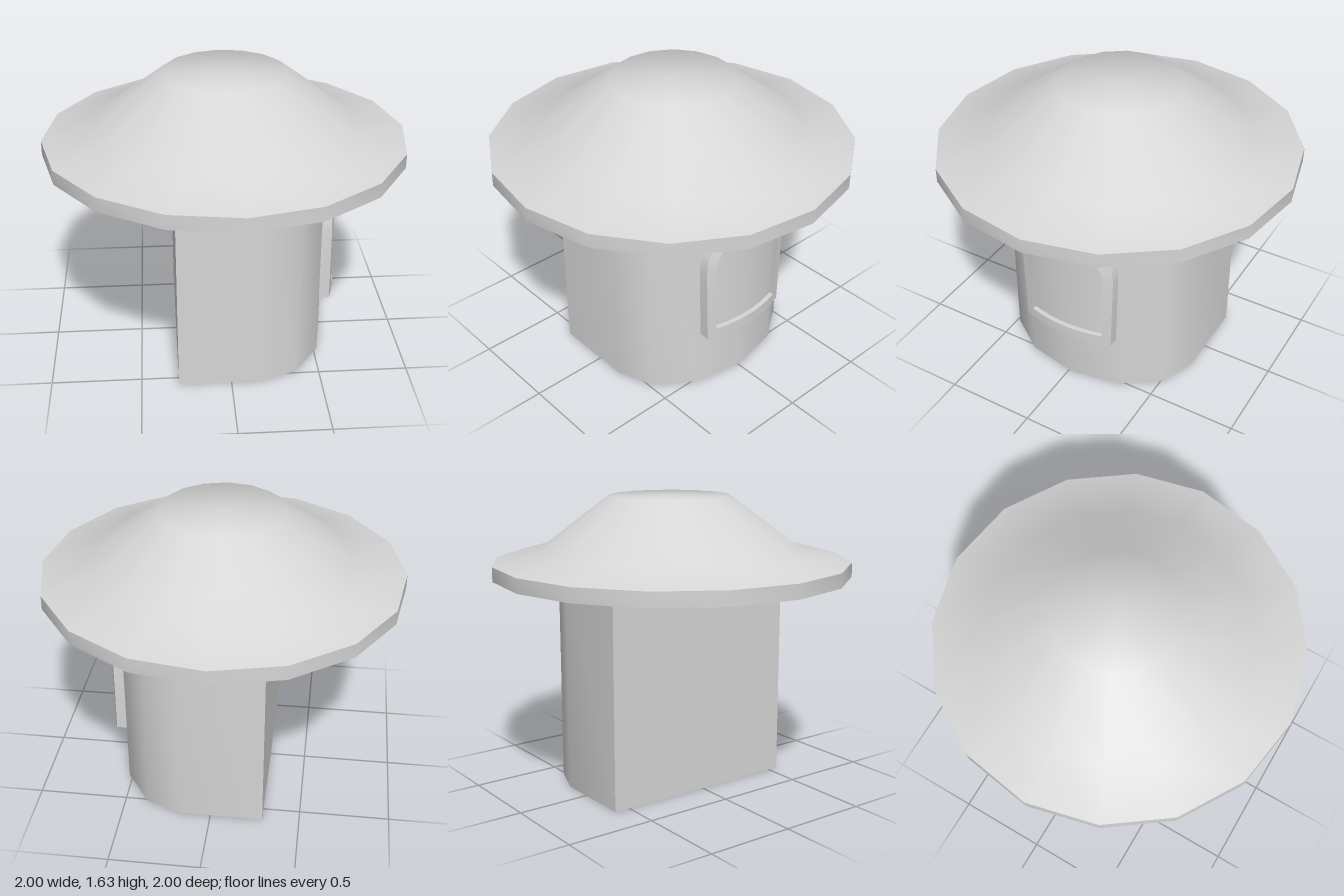
import * as THREE from 'three';
import { mergeVertices, toCreasedNormals } from 'three/addons/utils/BufferGeometryUtils.js';

const CZ = -0.015; // centre line of the tower in z

// Skin a grid of points (rows of columns) with quads
function skin(rows, crease) {
  const pos = [];
  for (let i = 0; i < rows.length - 1; i++) {
    for (let j = 0; j < rows[i].length - 1; j++) {
      const a = rows[i][j], b = rows[i + 1][j], c = rows[i + 1][j + 1], d = rows[i][j + 1];
      pos.push(...a, ...d, ...c, ...a, ...c, ...b);
    }
  }
  const g = new THREE.BufferGeometry();
  g.setAttribute('position', new THREE.Float32BufferAttribute(pos, 3));
  return toCreasedNormals(g, crease);
}

// Sixteen-sided turned shape with smooth normals
function turned(pts) {
  const g = new THREE.LatheGeometry(pts.map(([r, y]) => new THREE.Vector2(r, y)), 16, 0.04);
  g.deleteAttribute('normal');
  g.deleteAttribute('uv');
  const merged = mergeVertices(g);
  merged.computeVertexNormals();
  return merged;
}

// Surface of the rounded wall at a given offset from the centre line
const wallX = (dz) => 0.17 + 0.404 * Math.sqrt(1 - (dz / 0.575) ** 2);

export function createModel() {
  const group = new THREE.Group();
  const stone = new THREE.MeshStandardMaterial({ color: 0xd6d6d6, side: THREE.DoubleSide });
  stone.name = 'light grey';
  const add = (name, geometry, parent = group) => {
    const mesh = new THREE.Mesh(geometry, stone);
    mesh.name = name;
    parent.add(mesh);
  };

  // Tower: D-shaped plan with a flat back, reaching up into the roof
  const plan = [[-0.294, CZ - 0.575]];
  for (let i = -3; i <= 3; i++) {
    const t = i * Math.PI / 6;
    plan.push([0.17 + 0.404 * Math.cos(t), CZ + 0.575 * Math.sin(t)]);
  }
  plan.push([-0.294, CZ + 0.575]);
  const loop = [...plan, plan[0]];
  add('towerWall', skin(loop.map(([x, z]) => [[x, 0, z], [x, 1.29, z]]), 0.8));

  // Floor, open between its centre and the back wall
  const floor = new THREE.Shape([...plan, [-0.18, CZ]].map(([x, z]) => new THREE.Vector2(x, z)));
  add('towerFloor', new THREE.ShapeGeometry(floor).rotateX(Math.PI / 2));

  // Arched window frame bent around the wall
  const stations = []; // outer z, outer y, inner z, inner y, bevel
  const ARC = 12;
  for (let i = 0; i <= ARC; i++) {
    const t = i * Math.PI / ARC, c = Math.cos(t), s = Math.sin(t);
    stations.push([0.285 * c, 0.785 + 0.285 * s, 0.234 * c, 0.785 + 0.232 * s, 0.03 * s]);
  }
  for (let i = 0; i <= 6; i++) {
    const k = i / 3 - 1;
    stations.push([0.272 * k, 0.342, 0.225 * k, 0.4, 0]);
  }
  stations.push(stations[0]);
  add('windowFrame', skin(stations.map(([oz, oy, iz, iy, bevel]) => [
    [wallX(oz) - 0.015, oy, CZ + oz],
    [wallX(oz) + 0.055 - bevel, oy, CZ + oz],
    [wallX(iz) + 0.055, iy, CZ + iz],
    [wallX(iz) - 0.015, iy, CZ + iz],
  ]), 0.5));

  // Window pane set just behind the front of the frame
  const pane = [];
  for (let i = -6; i <= 6; i++) {
    const t = i * Math.PI / 12, z = 0.236 * Math.sin(t), x = wallX(z) + 0.028;
    pane.push([[x, 0.39, CZ + z], [x, 0.785 + 0.236 * Math.cos(t), CZ + z]]);
  }
  add('windowPane', skin(pane, 0.8));

  // Roof: smooth mound on a thin rim, hollowed to a shallow cone below
  const roof = new THREE.Group();
  roof.name = 'roof';
  group.add(roof);
  const mound = turned([[1, 1.27], [0.72, 1.345], [0.34, 1.63], [0, 1.63]]);
  const p = mound.attributes.position;
  for (let i = 0; i < p.count; i++) { // crown leans slightly back
    p.setZ(i, p.getZ(i) - 0.011 * (p.getY(i) - 1.27) / 0.36);
  }
  add('roofMound', mound, roof);
  add('roofRim', turned([[1, 1.19], [1, 1.27]]), roof);
  add('roofUnderside', turned([[0, 1.36], [1, 1.19]]), roof);

  return group;
}
